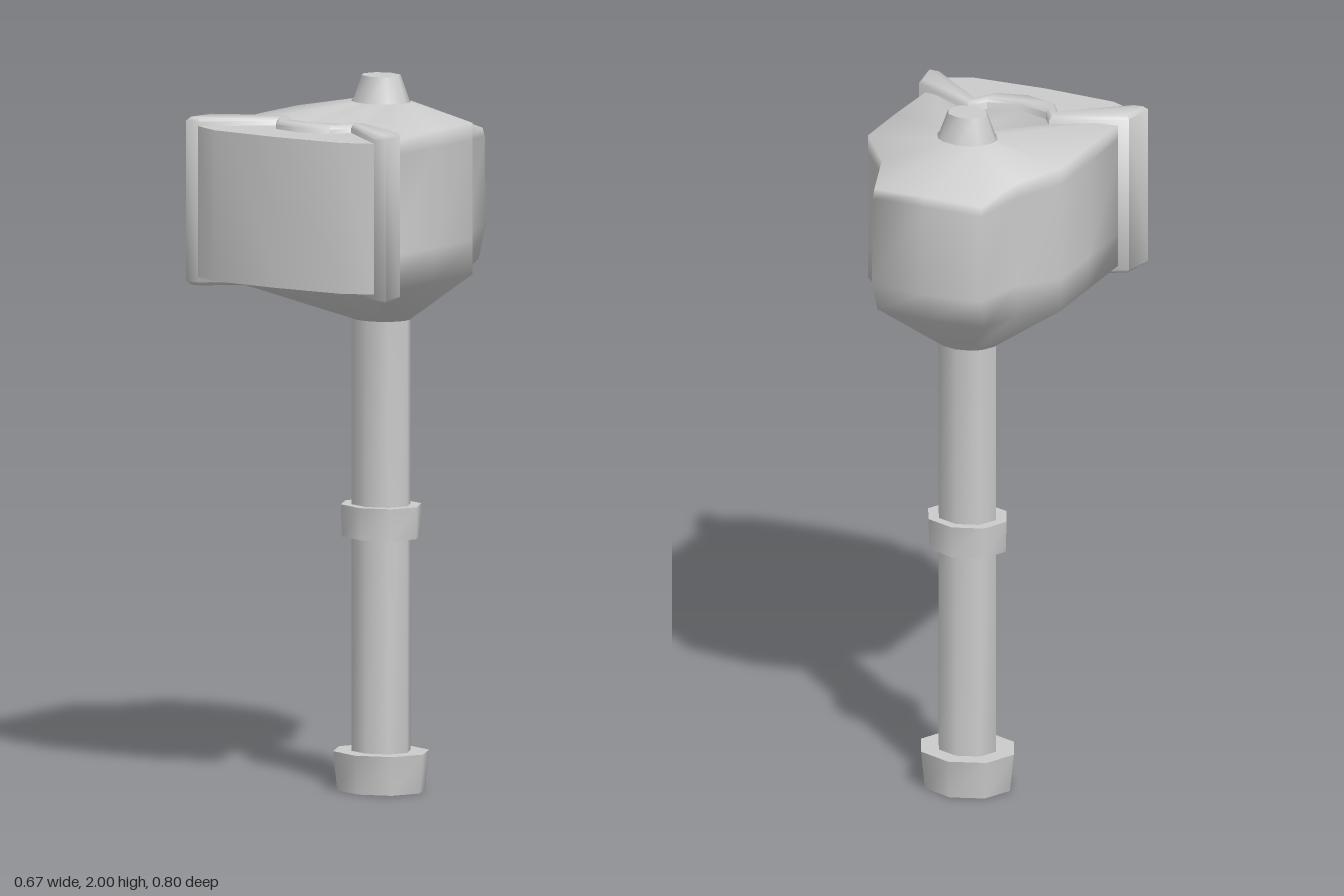
import * as THREE from 'three';
import { toCreasedNormals } from 'three/addons/utils/BufferGeometryUtils.js';

const material = new THREE.MeshStandardMaterial({ color: 0xcccccc });
const AXIS_Z = -0.11; // handle axis

function add(group, name, geometry, crease) {
  const mesh = new THREE.Mesh(crease ? toCreasedNormals(geometry, crease) : geometry, material);
  mesh.name = name;
  group.add(mesh);
}

// Eight-sided, slightly flattened turned part on the handle axis
function turned(group, name, rTop, rBottom, y0, y1, flatten) {
  const g = new THREE.CylinderGeometry(rTop, rBottom, y1 - y0, 8);
  g.scale(1, 1, flatten);
  g.translate(0, (y0 + y1) / 2, AXIS_Z);
  add(group, name, g, 1.0);
}

// Upright prism from the right half of a plan outline [x, z], mirrored in x
function prism(group, name, half, y0, y1, bevel) {
  const mirrored = half.filter(p => p[0] > 0).reverse().map(([x, z]) => [-x, z]);
  const shape = new THREE.Shape([...half, ...mirrored].map(([x, z]) => new THREE.Vector2(x, -z)));
  const g = new THREE.ExtrudeGeometry(shape, {
    depth: y1 - y0 - 2 * bevel, bevelEnabled: bevel > 0, bevelSize: bevel,
    bevelThickness: bevel, bevelOffset: -bevel, bevelSegments: 1,
  });
  g.rotateX(-Math.PI / 2);
  g.translate(0, y0 + bevel, 0);
  add(group, name, g, 0.9);
}

// Ring of half-section points [x, y, z] from back centre to front centre, closed by mirroring
function closeRing(half) {
  return [...half, ...half.slice(1, -1).reverse().map(([x, y, z]) => [-x, y, z])];
}

// Rings ordered from bottom to top, running back -> +x -> front -> -x
function loft(rings) {
  const n = rings[0].length, index = [];
  for (let r = 0; r < rings.length - 1; r++) {
    for (let i = 0; i < n; i++) {
      const a = r * n + i, b = r * n + (i + 1) % n;
      index.push(a, a + n, b, b, a + n, b + n);
    }
  }
  const g = new THREE.BufferGeometry();
  g.setAttribute('position', new THREE.Float32BufferAttribute(rings.flat(2), 3));
  g.setIndex(index);
  g.computeVertexNormals();
  return g;
}

export function createModel() {
  const model = new THREE.Group();
  model.name = 'hammer';

  // Handle
  turned(model, 'pommel', 0.142, 0.13, 0, 0.11, 0.88);
  turned(model, 'grip', 0.088, 0.088, 0.1, 1.42, 0.85);
  turned(model, 'gripRing', 0.12, 0.117, 0.71, 0.8, 0.86);
  turned(model, 'topKnob', 0.058, 0.088, 1.92, 2, 0.86);

  // Head body: flares out of the handle, tapers at the back, closes at the knob
  const plan = [[0, -0.4], [0.165, -0.38], [0.205, -0.23], [0.295, -0.13],
    [0.295, 0.05], [0.295, 0.29], [0.125, 0.19], [0, 0.25]];
  const angles = [0, 30, 50, 80, 100, 130, 155, 180];
  const neck = (rx, rz, y) => angles.map(d => {
    const a = d * Math.PI / 180;
    return [rx * Math.sin(a), y, AXIS_Z - rz * Math.cos(a)];
  });
  const section = (ys, backShift) => plan.map(([x, z], i) => [x, ys[i], i < 2 ? z + backShift : z]);
  const rings = [
    neck(0.088, 0.075, 1.32),
    section([1.47, 1.47, 1.47, 1.465, 1.465, 1.465, 1.465, 1.465], 0.035),
    section([1.56, 1.56, 1.56, 1.56, 1.56, 1.56, 1.56, 1.56], 0),
    section([1.82, 1.81, 1.82, 1.84, 1.84, 1.84, 1.84, 1.84], 0.005),
    section([1.845, 1.835, 1.865, 1.888, 1.888, 1.88, 1.88, 1.88], 0.015),
    neck(0.088, 0.075, 1.928),
  ];
  add(model, 'headBody', loft(rings.map(closeRing)));

  // Wavy band wrapped behind the striking face
  prism(model, 'faceBand', [[0, 0.292], [0.09, 0.27], [0.125, 0.215], [0.295, 0.35], [0.337, 0.35],
    [0.321, 0.258], [0.125, 0.155], [0.09, 0.21], [0, 0.231]], 1.44, 1.91, 0.01);

  // Striking face with angled side strips
  prism(model, 'strikingFace', [[0, 0.4], [0.213, 0.39], [0.297, 0.35], [0.125, 0.212],
    [0.09, 0.265], [0, 0.288]], 1.465, 1.887, 0);

  return model;
}
